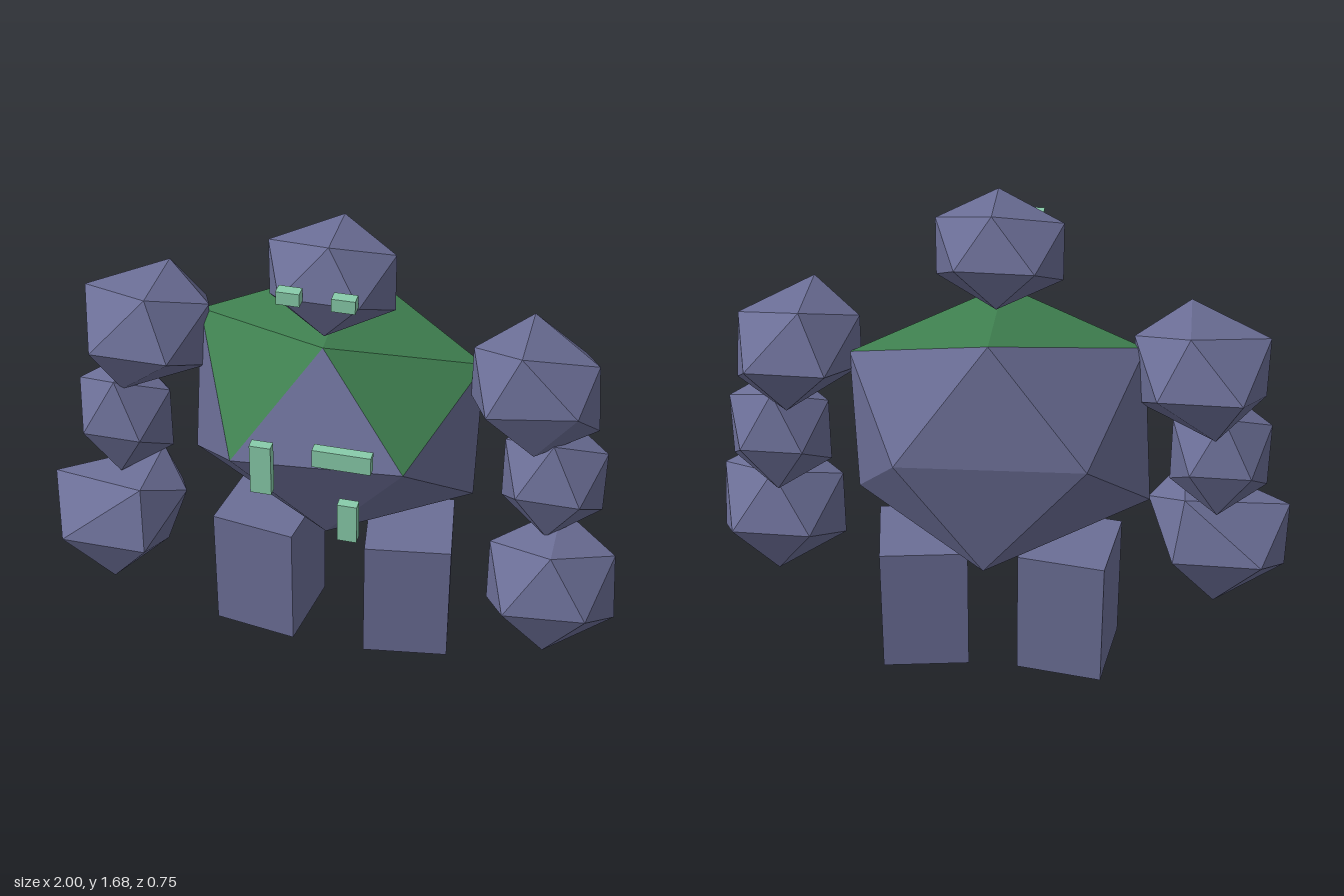
import * as THREE from 'three';

const mat = (name, color) => {
  const m = new THREE.MeshStandardMaterial({ color, flatShading: true });
  m.name = name;
  return m;
};

// Corner order: right low/high, left low/high, front left/right, back left/right,
// top back/front, bottom back/front.
const A = 0.5257, B = 0.8507;
const CORNERS = [
  [-B, -A, 0], [-B, A, 0], [B, -A, 0], [B, A, 0],
  [A, 0, B], [-A, 0, B], [A, 0, -B], [-A, 0, -B],
  [0, B, -A], [0, B, A], [0, -B, -A], [0, -B, A],
];
// The first four faces are the upper ones that can carry moss.
const FACES = [
  1, 5, 9, 3, 9, 4, 9, 8, 1, 3, 8, 9,
  0, 11, 5, 0, 5, 1, 0, 1, 7, 0, 7, 10, 0, 10, 11,
  5, 11, 4, 11, 10, 2, 10, 7, 6, 7, 1, 8,
  3, 4, 2, 3, 2, 6, 3, 6, 8, 4, 9, 5, 2, 4, 11, 6, 2, 10, 8, 6, 7,
];

function rockGeometry(corners) {
  let g = new THREE.BufferGeometry();
  g.setAttribute('position', new THREE.Float32BufferAttribute(corners.flat(), 3));
  g.setIndex(FACES);
  g = g.toNonIndexed();
  g.computeVertexNormals();
  return g;
}

// Evenly scaled rock with a few corners nudged out of place
function rockCorners(center, scale, nudges = {}) {
  return CORNERS.map((c, i) =>
    c.map((v, k) => center[k] + v * scale[k] + (nudges[i] ? nudges[i][k] : 0)));
}

export function createModel() {
  const group = new THREE.Group();
  const stone = mat('stone', 0x6b6e96);
  const moss = mat('moss', 0x3f8050);
  const glow = mat('glowing crystal', 0x88ccaa);

  const add = (name, geometry, material) => {
    const m = new THREE.Mesh(geometry, material);
    m.name = name;
    group.add(m);
    return m;
  };
  const rock = (name, center, scale, nudges) =>
    add(name, rockGeometry(rockCorners(center, scale, nudges)), stone);
  const block = (name, x0, x1, y0, y1, z0, z1) =>
    add(name, new THREE.BoxGeometry(x1 - x0, y1 - y0, z1 - z0), glow)
      .position.set((x0 + x1) / 2, (y0 + y1) / 2, (z0 + z1) / 2);

  // Torso boulder with moss on the shoulders
  const torso = rockGeometry([
    [-0.52, 0.67, -0.09], [-0.48, 1.25, -0.09], [0.47, 0.65, -0.08], [0.48, 1.18, -0.09],
    [0.30, 0.99, 0.31], [-0.27, 0.95, 0.315], [0.30, 0.93, -0.38], [-0.32, 0.95, -0.38],
    [0, 1.355, -0.32], [0, 1.325, 0.15], [0.02, 0.49, -0.31], [0, 0.55, 0.12],
  ]);
  torso.addGroup(0, 12, 0);
  torso.addGroup(12, 48, 1);
  add('torso', torso, [moss, stone]);

  // Head
  rock('head', [0, 1.52, 0.025], [0.242, 0.19, 0.205],
    { 8: [0.015, 0, 0], 9: [0.015, 0, 0] });

  // Right arm
  rock('rightShoulder', [-0.66, 1.17, -0.07], [0.255, 0.215, 0.26], {
    8: [0.04, 0, 0], 9: [0.04, 0, 0], 10: [-0.06, 0, 0], 11: [-0.06, 0, 0],
    1: [0, 0.015, 0], 2: [-0.02, -0.02, 0], 0: [0, 0.03, 0],
  });
  rock('rightForearm', [-0.745, 0.83, -0.02], [0.192, 0.22, 0.19]);
  rock('rightFist', [-0.757, 0.457, 0.06], [0.285, 0.24, 0.255],
    { 2: [-0.08, 0.02, 0], 8: [0.12, 0, 0], 9: [0.12, 0, 0] });

  // Left arm
  rock('leftShoulder', [0.665, 1.17, -0.03], [0.25, 0.215, 0.26], {
    8: [-0.04, 0, 0], 9: [-0.04, 0, 0], 10: [0.02, 0, 0], 11: [0.02, 0, 0],
    2: [0, -0.03, 0], 3: [-0.02, -0.01, 0], 0: [0, 0.04, 0], 4: [0.02, 0, -0.06],
  });
  rock('leftForearm', [0.745, 0.83, -0.02], [0.2, 0.22, 0.19]);
  rock('leftFist', [0.78, 0.462, 0.08], [0.259, 0.238, 0.26],
    { 4: [0, 0, -0.03], 3: [-0.02, 0.02, 0] });

  // Legs, toes turned slightly outward
  for (const [name, s] of [['leftLeg', 1], ['rightLeg', -1]]) {
    const leg = add(name, new THREE.BoxGeometry(0.3, 0.475, 0.3), stone);
    leg.position.set(s * 0.256, 0.2375, -0.075);
    leg.rotation.y = s * 0.15;
  }

  // Eyes and glowing chest runes
  block('rightEye', -0.125, -0.05, 1.525, 1.57, 0.2, 0.24);
  block('leftEye', 0.05, 0.125, 1.525, 1.57, 0.2, 0.24);
  block('rightRune', -0.185, -0.115, 0.885, 1.07, 0.34, 0.375);
  block('upperRune', 0.02, 0.21, 1.025, 1.09, 0.34, 0.375);
  block('lowerRune', 0.1, 0.165, 0.735, 0.88, 0.333, 0.368);

  return group;
}
